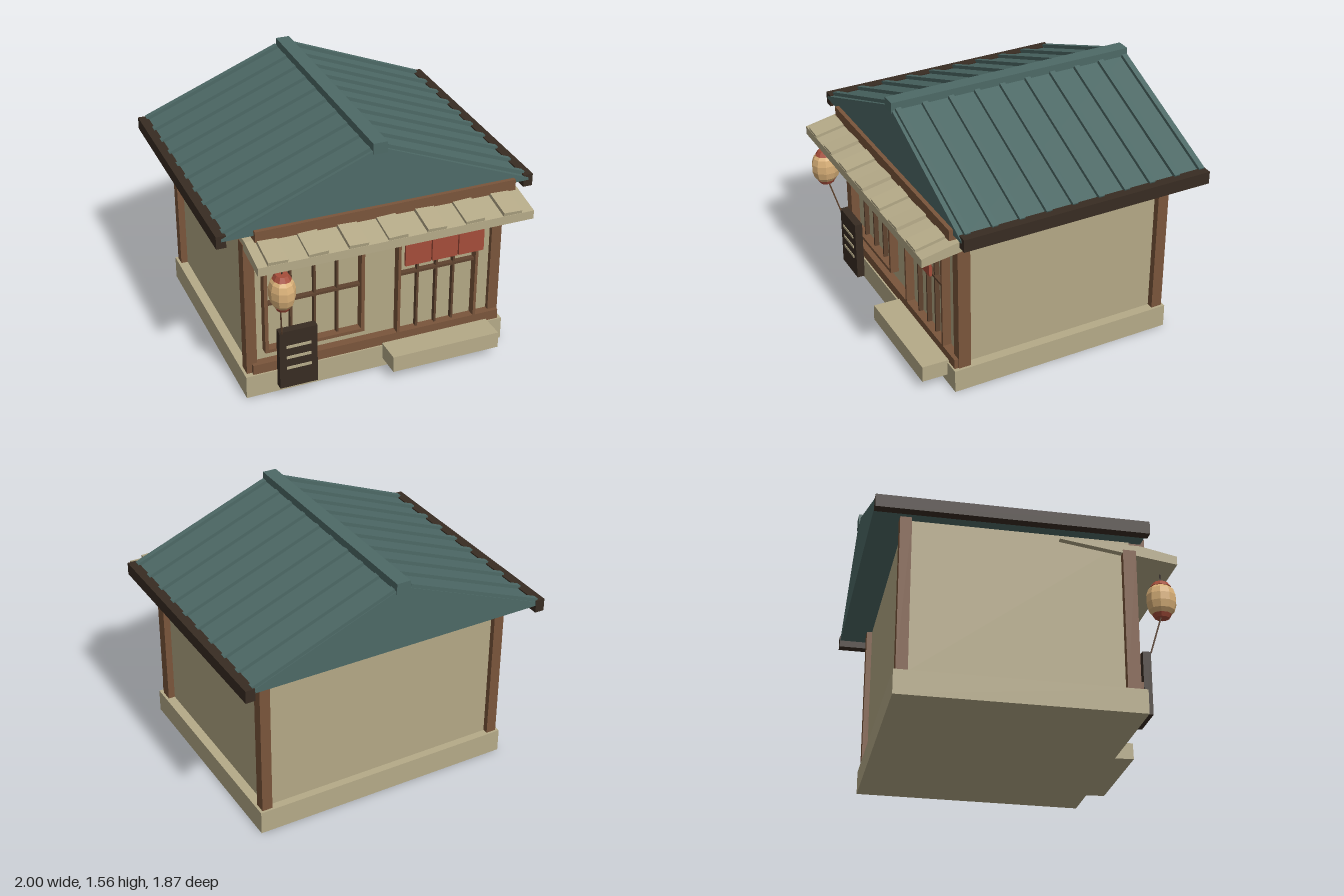
import * as THREE from 'three';

const mat = (name, color) => {
  const m = new THREE.MeshStandardMaterial({ color, flatShading: true });
  m.name = name;
  return m;
};

export function createModel() {
  const plaster = mat('plaster', 0xb3a885);
  const stone = mat('paleStone', 0xb5aa88);
  const teal = mat('roofTeal', 0x4d6966);
  const wood = mat('brownWood', 0x7a553b);
  const darkWood = mat('darkWood', 0x382c22);
  const lattice = mat('latticeWood', 0x5f432f);
  const red = mat('redCloth', 0xa54d3a);
  const paper = mat('lanternPaper', 0xd9b078);

  const model = new THREE.Group();
  model.name = 'shopHouse';

  const group = (name, parent = model) => {
    const g = new THREE.Group();
    g.name = name;
    parent.add(g);
    return g;
  };
  const add = (name, geo, material, parent = model) => {
    const mesh = new THREE.Mesh(geo, material);
    mesh.name = name;
    parent.add(mesh);
    return mesh;
  };
  // Box given by its limits on each axis
  const box = (name, [x0, x1], [y0, y1], [z0, z1], material, parent) => {
    const mesh = add(name, new THREE.BoxGeometry(x1 - x0, y1 - y0, z1 - z0), material, parent);
    mesh.position.set((x0 + x1) / 2, (y0 + y1) / 2, (z0 + z1) / 2);
    return mesh;
  };
  const extrude = (points, depth) => new THREE.ExtrudeGeometry(
    new THREE.Shape(points.map(([x, y]) => new THREE.Vector2(x, y))),
    { depth, bevelEnabled: false });

  // Foundation, step and walls
  box('foundation', [-0.85, 0.85], [0, 0.15], [-0.78, 0.685], stone);
  const step = box('doorStep', [0.035, 0.745], [0.06, 0.165], [0.62, 0.85], stone);
  step.rotation.x = -0.03;
  box('walls', [-0.79, 0.79], [0.14, 1.14], [-0.73, 0.62], plaster);

  // Corner posts and front beams
  const frame = group('timberFrame');
  for (const side of [-1, 1]) {
    const xs = [side * 0.8 - 0.033, side * 0.8 + 0.033];
    box('frontPost', xs, [0.15, 1.05], [0.57, 0.65], wood, frame);
    box('backPost', xs, [0.15, 1.13], [-0.765, -0.695], wood, frame);
  }
  box('sillBeam', [-0.8, 0.825], [0.15, 0.215], [0.6, 0.675], wood, frame);
  box('gableBeam', [-0.78, 0.87], [1.09, 1.16], [0.6, 0.72], wood, frame);

  // Lattice window and door: bars over the plaster
  const latticePanel = (name, [x0, x1], [y0, y1], bars, railY, edge) => {
    const g = group(name);
    for (const x of [x0, x1]) box('sideFrame', [x - edge, x + edge], [y0, y1], [0.61, 0.675], wood, g);
    for (const y of [y0, y1]) box('crossFrame', [x0 - edge, x1 + edge], [y - edge, y + edge], [0.61, 0.675], wood, g);
    for (const x of bars) box('upright', [x - 0.007, x + 0.007], [y0, y1], [0.61, 0.65], lattice, g);
    box('rail', [x0, x1], [railY - 0.008, railY + 0.008], [0.61, 0.655], lattice, g);
  };
  latticePanel('window', [-0.71, -0.095], [0.295, 0.928], [-0.545, -0.395, -0.25], 0.612, 0.011);
  latticePanel('door', [0.143, 0.66], [0.195, 0.99], [0.275, 0.4, 0.515], 0.618, 0.009);

  // Door curtain in three panels
  const curtain = group('doorCurtain');
  for (let i = 0; i < 3; i++) {
    const x = 0.145 + i * 0.175;
    box('curtainPanel', [x, x + 0.167], [0.735, 1.0], [0.733, 0.75], red, curtain);
  }

  // Sloping awning with raised boards
  const awning = group('awning');
  const slab = extrude([[0.905, 0.985], [0.905, 1.04], [0.68, 1.085], [0.19, 1.09], [0.19, 1.083]], 1.73);
  slab.rotateY(-Math.PI / 2);
  slab.translate(0.9, 0, 0);
  add('awningSlab', slab, stone, awning);
  for (let i = 0; i < 7; i++) {
    const board = add('awningBoard', new THREE.BoxGeometry(0.12, 0.028, 0.25), stone, awning);
    board.position.set(-0.71 + i * 0.245, 1.072, 0.782);
    board.rotation.set(0.197, 0, i % 2 ? 0.04 : -0.04);
  }

  // Solid gabled roof, its front flaring a little at the foot
  const roof = group('roof');
  const body = extrude([[-0.97, 1.125], [0.97, 1.125], [0.97, 1.14], [0.03, 1.515], [-0.03, 1.515], [-0.97, 1.14]], 1.605);
  body.translate(0, 0, -0.925);
  const p = body.attributes.position;
  for (let i = 0; i < p.count; i++) {
    if (p.getZ(i) > 0.6 && p.getY(i) < 1.3) p.setZ(i, 0.695);
  }
  body.computeVertexNormals();
  add('roofBody', body, teal, roof);
  box('ridgeCap', [-0.045, 0.045], [1.49, 1.56], [-0.93, 0.685], teal, roof);

  const slope = Math.atan2(0.375, 0.94);
  for (const side of [-1, 1]) {
    box('eaveBeam', [side * 0.97 - 0.03, side * 0.97 + 0.03], [1.08, 1.16], [-0.93, 0.69], darkWood, roof);
    for (let i = 0; i < 10; i++) {
      const rib = add('roofRib', new THREE.BoxGeometry(0.97, 0.036, 0.036), teal, roof);
      rib.position.set(side * 0.5, 1.332, 0.645 - i * 0.172);
      rib.rotation.z = -side * slope;
    }
  }

  // Paper lantern
  const lantern = group('lantern');
  lantern.position.set(-0.67, 0.815, 0.847);
  lantern.scale.x = 0.85;
  const profile = [[0.05, -0.1], [0.08, -0.065], [0.093, -0.02], [0.093, 0.03], [0.08, 0.07], [0.05, 0.1]]
    .map(([r, y]) => new THREE.Vector2(r, y));
  add('lanternBody', new THREE.LatheGeometry(profile, 10), paper, lantern);
  add('topCap', new THREE.CylinderGeometry(0.045, 0.066, 0.03, 10), red, lantern).position.y = 0.105;
  add('bottomCap', new THREE.CylinderGeometry(0.06, 0.045, 0.025, 10), red, lantern).position.y = -0.103;
  add('hanger', new THREE.CylinderGeometry(0.006, 0.006, 0.09, 5), darkWood, lantern).position.y = 0.155;

  // Cord from the lantern to the sign board
  const cord = new THREE.LineCurve3(new THREE.Vector3(-0.68, 0.71, 0.84), new THREE.Vector3(-0.65, 0.47, 0.772));
  add('cord', new THREE.TubeGeometry(cord, 1, 0.005, 5), lattice);

  // Standing sign board with three pale strips
  const sign = group('signBoard');
  box('board', [-0.665, -0.425], [0.075, 0.475], [0.718, 0.768], darkWood, sign);
  for (const y of [0.215, 0.29, 0.365]) {
    box('paleStrip', [-0.622, -0.465], [y - 0.009, y + 0.009], [0.766, 0.773], stone, sign);
  }
  return model;
}
